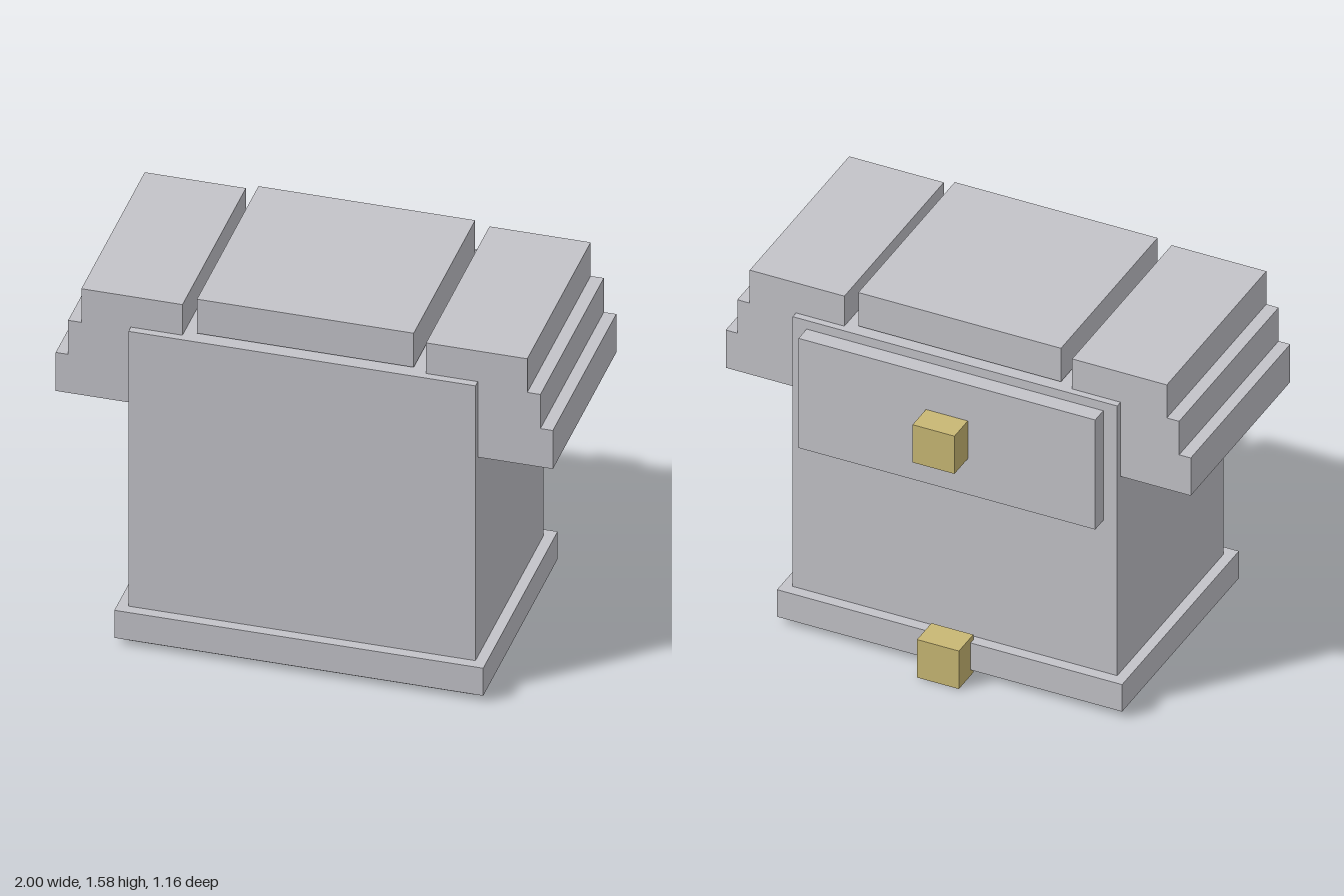
import * as THREE from 'three';

export function createModel() {
  const model = new THREE.Group();
  const grey = new THREE.MeshStandardMaterial({ color: 0xc3c3c9 });
  grey.name = 'grey';
  const gold = new THREE.MeshStandardMaterial({ color: 0xc9b874 });
  gold.name = 'gold';

  // Box given by its limits on each axis
  function block(name, material, [x0, x1], [y0, y1], [z0, z1]) {
    const mesh = new THREE.Mesh(new THREE.BoxGeometry(x1 - x0, y1 - y0, z1 - z0), material);
    mesh.position.set((x0 + x1) / 2, (y0 + y1) / 2, (z0 + z1) / 2);
    mesh.name = name;
    model.add(mesh);
  }

  // Torso, belt band, collar block and back plate
  block('body', grey, [-0.698, 0.698], [0, 1.414], [-0.395, 0.538]);
  block('beltBand', grey, [-0.742, 0.742], [0.03, 0.156], [-0.442, 0.582]);
  block('topBlock', grey, [-0.436, 0.436], [1.424, 1.58], [-0.354, 0.492]);
  block('backPlate', grey, [-0.638, 0.638], [0.863, 1.374], [-0.466, -0.395]);

  // Gold studs on the back
  block('upperStud', gold, [-0.09, 0.09], [1.03, 1.206], [-0.583, -0.466]);
  block('lowerStud', gold, [-0.09, 0.09], [0.003, 0.18], [-0.544, -0.418]);

  // Stepped shoulder plates, one profile mirrored across x
  const steps = [
    [0.49, 1.068], [1, 1.068], [1, 1.244], [0.95, 1.244],
    [0.95, 1.4], [0.897, 1.4], [0.897, 1.554], [0.49, 1.554],
  ];
  for (const side of [1, -1]) {
    const profile = new THREE.Shape(steps.map(([x, y]) => new THREE.Vector2(side * x, y)));
    const shoulder = new THREE.Mesh(
      new THREE.ExtrudeGeometry(profile, { depth: 0.872, bevelEnabled: false }), grey);
    shoulder.position.z = -0.366;
    shoulder.name = side > 0 ? 'leftShoulder' : 'rightShoulder';
    model.add(shoulder);
  }
  return model;
}
